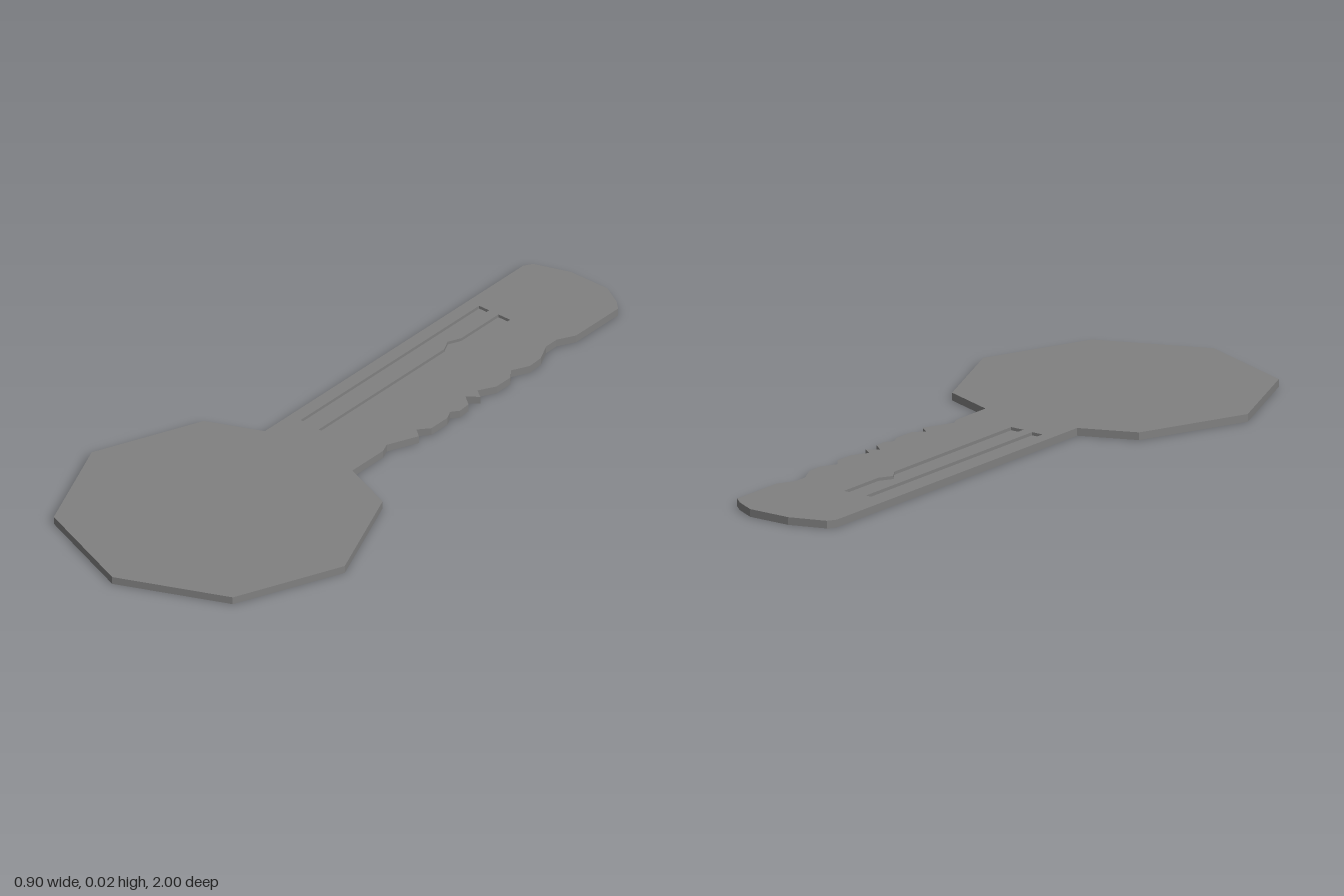
import * as THREE from 'three';

const THICKNESS = 0.022;
const GROOVE_FLOOR = 0.013;

// Points are [x, z] as seen from above
const toPoints = (list) => list.map(([x, z]) => new THREE.Vector2(x, -z));

// Flat plate lying on y = 0
function plate(name, outline, holes, height, material) {
  const shape = new THREE.Shape(toPoints(outline));
  for (const hole of holes) shape.holes.push(new THREE.Path(toPoints(hole)));
  const geometry = new THREE.ExtrudeGeometry(shape, { depth: height, bevelEnabled: false });
  geometry.rotateX(-Math.PI / 2);
  const mesh = new THREE.Mesh(geometry, material);
  mesh.name = name;
  return mesh;
}

export function createModel() {
  const group = new THREE.Group();
  group.name = 'key';
  const material = new THREE.MeshStandardMaterial({ color: 0x808080, flatShading: true });

  // Octagonal bow, without the corner where the blade joins
  const bow = [];
  for (let i = -3; i <= 3; i++) {
    const a = (i * Math.PI) / 4;
    bow.push([0.452 * Math.sin(a), 0.548 + 0.452 * Math.cos(a)]);
  }

  // Cut teeth along the right edge, from bow to tip
  const teeth = [
    [0.155, 0.161], [0.155, 0.03], [0.143, 0], [0.182, -0.09], [0.155, -0.112],
    [0.182, -0.143], [0.182, -0.212], [0.168, -0.24], [0.185, -0.262], [0.182, -0.302],
    [0.15, -0.327], [0.182, -0.352], [0.155, -0.372], [0.182, -0.42], [0.182, -0.48],
    [0.16, -0.51], [0.185, -0.56], [0.182, -0.61], [0.155, -0.665], [0.155, -0.71],
    [0.182, -0.76],
  ];
  const tip = [
    [0.182, -0.94], [0.155, -0.965], [0.093, -1], [-0.037, -1],
    [-0.143, -0.965], [-0.158, -0.94], [-0.158, 0.161],
  ];

  // Straight groove and kinked groove, open only at the top
  const grooves = [
    [[-0.119, 0.055], [-0.083, 0.055], [-0.083, -0.706], [-0.119, -0.706]],
    [
      [-0.05, 0.06], [-0.008, 0.06], [-0.008, -0.475], [-0.03, -0.51], [-0.008, -0.548],
      [-0.008, -0.706], [-0.05, -0.706], [-0.05, -0.548], [-0.067, -0.51], [-0.05, -0.475],
    ],
  ];

  group.add(plate('keyBody', [...bow, ...teeth, ...tip], grooves, THICKNESS, material));
  grooves.forEach((g, i) =>
    group.add(plate(i ? 'kinkedGrooveFloor' : 'straightGrooveFloor', g, [], GROOVE_FLOOR, material)));
  return group;
}
